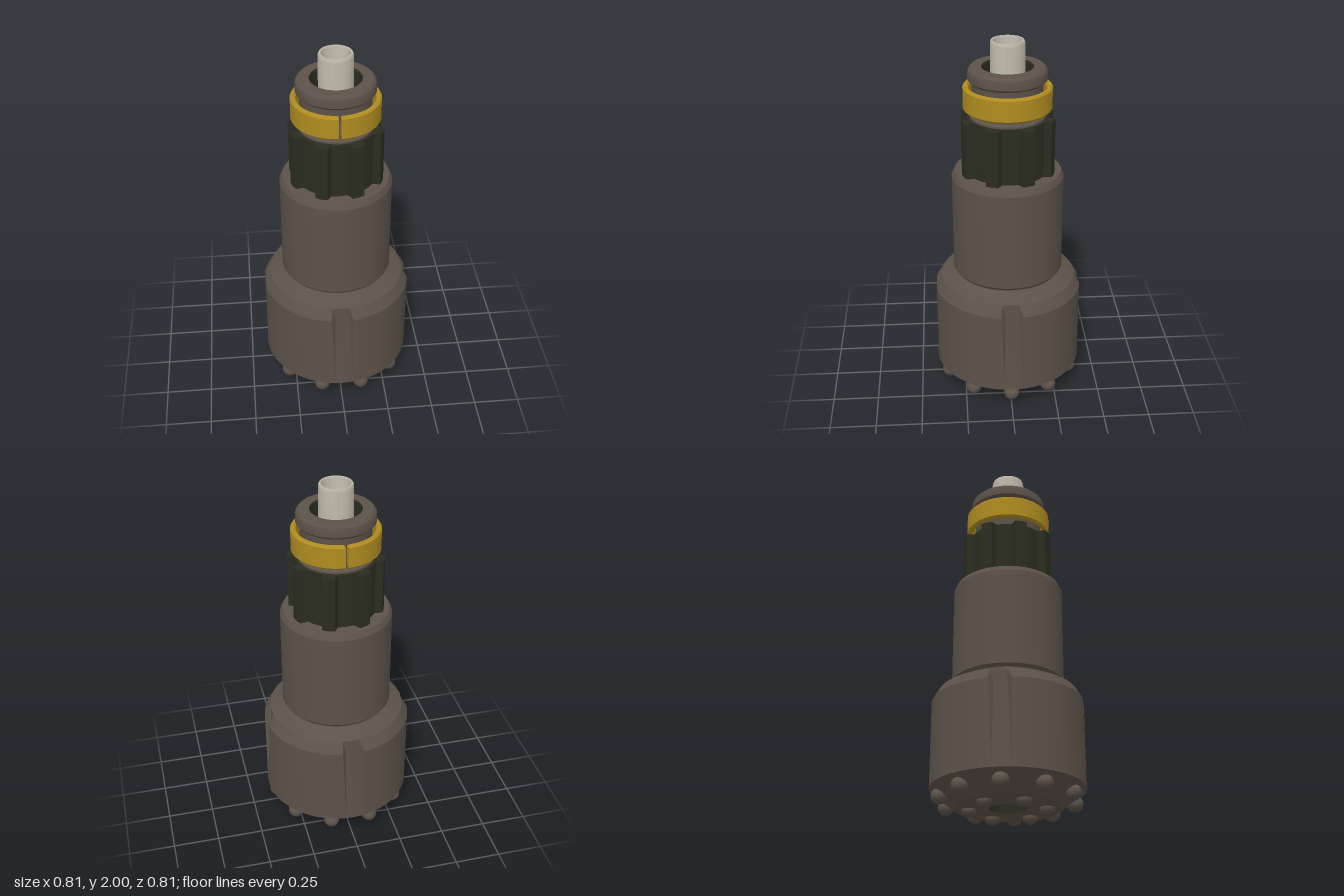
import * as THREE from 'three';
import { toCreasedNormals } from 'three/addons/utils/BufferGeometryUtils.js';

const material = (name, color) => {
  const m = new THREE.MeshStandardMaterial({ color });
  m.name = name;
  return m;
};

export function createModel() {
  const steel = material('brown steel', 0x5c5249);
  const dark = material('dark olive', 0x2b2c20);
  const brass = material('brass', 0xb08c20);
  const pale = material('pale tube', 0xbab5a7);

  const group = new THREE.Group();
  const add = (name, geometry, mat, parent = group) => {
    const mesh = new THREE.Mesh(geometry, mat);
    mesh.name = name;
    parent.add(mesh);
    return mesh;
  };
  const lathe = (points, segments = 96) =>
    new THREE.LatheGeometry(points.map(([r, y]) => new THREE.Vector2(r, y)), segments);
  const crease = (g) => toCreasedNormals(g, 0.4);

  // Bit head, with four flat-floored slots that run out towards the bottom rim
  const head = lathe([[0.095, 0.04], [0.275, 0.04], [0.405, 0.135], [0.405, 0.15],
    [0.405, 0.6], [0.37, 0.66], [0.285, 0.7]], 128);
  const p = head.attributes.position;
  for (let i = 0; i < p.count; i++) {
    const x = p.getX(i), y = p.getY(i), z = p.getZ(i);
    if (y < 0.14 || y > 0.61) continue;
    const a = Math.atan2(x, z), quarter = Math.PI / 2;
    const offset = Math.abs(a - Math.round(a / quarter) * quarter);
    if (offset > 0.11) continue;
    const k = 1 - 0.035 * ((y - 0.14) / 0.46) / 0.405;
    p.setXYZ(i, x * k, y, z * k);
  }
  add('bitHead', crease(head), steel);

  // Shank, neck and top collar
  add('shank', crease(lathe([[0.285, 0.695], [0.287, 0.705], [0.3, 0.72], [0.3, 1.26],
    [0.285, 1.29], [0.2, 1.29], [0.2, 1.605], [0.185, 1.615], [0.185, 1.79]])), steel);
  add('collar', crease(lathe([[0.185, 1.785], [0.197, 1.788], [0.207, 1.8], [0.207, 1.838],
    [0.203, 1.85], [0.19, 1.863], [0.135, 1.863]])), steel);

  // Through bore, facing inwards
  add('bore', crease(lathe([[0.135, 1.863], [0.13, 1.855], [0.13, 1.7],
    [0.095, 1.62], [0.095, 0.04]])), dark);

  // Eight-tooth spline
  const corners = [];
  for (let i = 0; i < 8; i++) {
    for (const [deg, r] of [[-11, 0.215], [-7.5, 0.253], [0, 0.255], [7.5, 0.253], [11, 0.215], [22.5, 0.215]]) {
      const a = THREE.MathUtils.degToRad(22.5 + i * 45 + deg);
      corners.push(new THREE.Vector2(r * Math.cos(a), r * Math.sin(a)));
    }
  }
  const spline = new THREE.ExtrudeGeometry(new THREE.Shape(corners), { depth: 0.31, bevelEnabled: false });
  spline.rotateX(-Math.PI / 2).translate(0, 1.285, 0);
  add('spline', crease(spline), dark);

  // Split retaining ring: two half rings with a narrow gap front and back
  const halfRing = new THREE.Shape();
  const end = Math.PI / 2 - 0.073;
  halfRing.absarc(0, 0, 0.223, -end, end, false);
  halfRing.absarc(0, 0, 0.212, end, -end, true);
  const ring = new THREE.ExtrudeGeometry(halfRing, {
    depth: 0.11, bevelSize: 0.01, bevelThickness: 0.01, bevelSegments: 1, curveSegments: 48,
  });
  ring.rotateX(-Math.PI / 2).translate(0, 1.645, 0);
  const ringGeometry = crease(ring);
  for (const side of [0, 1]) {
    add(side ? 'ringRight' : 'ringLeft', ringGeometry, brass).rotation.y = side * Math.PI;
  }

  // Hollow tube standing out of the bore
  add('tube', crease(lathe([[0.072, 1.2], [0.09, 1.2], [0.09, 1.988], [0.085, 2],
    [0.076, 2], [0.072, 1.99], [0.072, 1.2]], 64)), pale);

  // Rounded cutting buttons: ten on the sloped rim, six on the flat face
  const buttons = new THREE.Group();
  buttons.name = 'buttons';
  group.add(buttons);
  const buttonRow = (name, count, start, radius, y, size) => {
    const ball = new THREE.SphereGeometry(size, 24, 16);
    for (let i = 0; i < count; i++) {
      const a = start + (i / count) * Math.PI * 2;
      add(name, ball, steel, buttons).position.set(radius * Math.sin(a), y, radius * Math.cos(a));
    }
  };
  buttonRow('rimButton', 10, Math.PI / 10, 0.355, 0.085, 0.043);
  buttonRow('faceButton', 6, 0, 0.2, 0.04, 0.04);

  return group;
}
